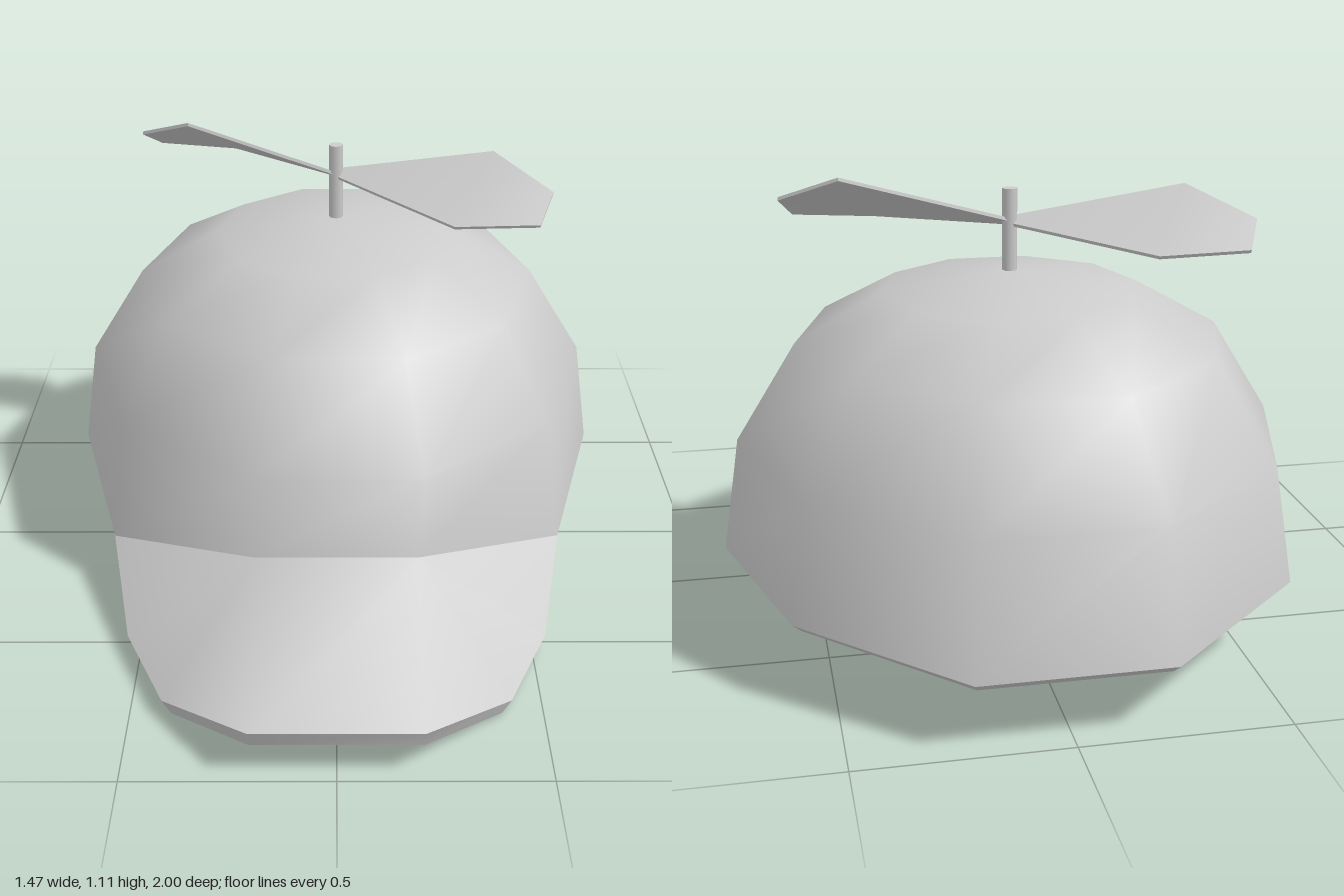
import * as THREE from 'three';
import { mergeVertices } from 'three/addons/utils/BufferGeometryUtils.js';

const smooth = new THREE.MeshStandardMaterial({ color: 0xcccccc });
const flat = new THREE.MeshStandardMaterial({ color: 0xcccccc, flatShading: true });
const CENTRE_Z = -0.23;
const SIDES = 10;

// Skin a list of equally long point rows; the front face looks along rowDirection x pointDirection
function skin(rows, closed) {
  const n = rows[0].length;
  const index = [];
  for (let i = 0; i < rows.length - 1; i++) {
    for (let j = 0; j < (closed ? n : n - 1); j++) {
      const k = (j + 1) % n;
      const a = i * n + j, b = i * n + k, c = a + n, d = b + n;
      index.push(a, c, b, b, c, d);
    }
  }
  const geometry = new THREE.BufferGeometry();
  geometry.setAttribute('position', new THREE.Float32BufferAttribute(rows.flat(2), 3));
  geometry.setIndex(index);
  const merged = mergeVertices(geometry, 1e-4);
  merged.computeVertexNormals();
  return merged;
}

function add(parent, name, geometry, material = smooth) {
  const mesh = new THREE.Mesh(geometry, material);
  mesh.name = name;
  parent.add(mesh);
  return mesh;
}

function addGroup(parent, name) {
  const group = new THREE.Group();
  group.name = name;
  parent.add(group);
  return group;
}

// Horizontal ten-sided ring of the crown
function ring([y, rx, rz]) {
  return Array.from({ length: SIDES }, (_, k) => {
    const t = (k / SIDES) * Math.PI * 2;
    return [rx * Math.cos(t), y, CENTRE_Z + rz * Math.sin(t)];
  });
}

// Extend a right-hand path with its mirror image
const mirrored = (path) => [...path, ...path.map(([x, y, z]) => [-x, y, z]).reverse()];
const pick = (row, keys) => keys.map((k) => row[k]);

export function createModel() {
  const group = new THREE.Group();
  group.name = 'propellerCap';

  // Wavy lower edge of the crown, outside and inside
  const rimY = [0.191, 0.156, 0.292, 0.292, 0.156, 0.191, 0.201, 0.172, 0.172, 0.201];
  const rimOuter = ring([0, 0.734, 0.808]).map(([x, , z], k) => [x * (k === 2 || k === 3 ? 0.89 : 1), rimY[k], z]);
  const rimInner = rimOuter.map(([x, y, z], k) => [
    x * 0.966, y - (k >= 1 && k <= 4 ? 0.038 : 0.022), CENTRE_Z + (z - CENTRE_Z) * 0.97,
  ]);

  // Crown
  const outside = [[0.481, 0.69, 0.747], [0.722, 0.54, 0.568], [0.843, 0.325, 0.329], [0.888, 0, 0]];
  add(group, 'crown', skin([rimOuter, ...outside.map(ring)], true));

  // Brim: fans out from the two front corners of the crown
  const alongFront = [1, 2, 2, 2, 3, 3, 3, 4];
  const brimTop = mirrored([rimOuter[1], [0.53, 0.052, 0.54], [0.42, 0.047, 0.78], [0.2, 0.141, 1]]);
  const brimBottom = mirrored([rimInner[1], [0.51, 0.004, 0.53], [0.4, 0, 0.77], [0.2, 0.091, 0.98]]);
  add(group, 'brim', skin([brimTop, pick(rimOuter, alongFront)], false));

  // Narrow edge strip round the brim, sides and back
  const upperEdge = [rimOuter[0], ...brimTop, ...rimOuter.slice(5)];
  const lowerEdge = [rimInner[0], ...brimBottom, ...rimInner.slice(5)];
  add(group, 'edge', skin([lowerEdge, upperEdge], true));

  // Lining: inside of the crown running on smoothly into the underside of the brim
  const allRound = [0, ...alongFront, 5, 6, 7, 8, 9];
  const inside = [[0.838, 0, 0], [0.798, 0.303, 0.307], [0.688, 0.503, 0.531], [0.465, 0.643, 0.7]];
  const liningRows = [...inside.map(ring), rimInner].map((row) => pick(row, allRound));
  add(group, 'lining', skin([...liningRows, lowerEdge], true));

  // Propeller: pin and two pitched, curved blades
  const propeller = addGroup(group, 'propeller');
  propeller.position.z = CENTRE_Z;
  add(propeller, 'pin', new THREE.CylinderGeometry(0.019, 0.019, 0.23, 8)).position.y = 0.975;

  const leading = [[0.01, 1.02, -0.012], [0.41, 1.11, 0.108], [0.555, 1.043, 0.23]];
  const trailing = [[0, 1.005, 0.012], [0.3, 0.978, 0.305], [0.515, 0.988, 0.318]];
  const lower = (row) => row.map(([x, y, z]) => [x, y - 0.008, z - 0.004]);
  const around = [...trailing.slice().reverse(), ...leading];
  const bladeParts = [
    ['bladeTop', skin([leading, trailing], false), smooth],
    ['bladeUnderside', skin([lower(trailing), lower(leading)], false), smooth],
    ['bladeEdge', skin([lower(around), around], true), flat],
  ];
  ['leftBlade', 'rightBlade'].forEach((name, i) => {
    const blade = addGroup(propeller, name);
    blade.rotation.y = i * 3.11;
    bladeParts.forEach((part) => add(blade, ...part));
  });

  return group;
}
